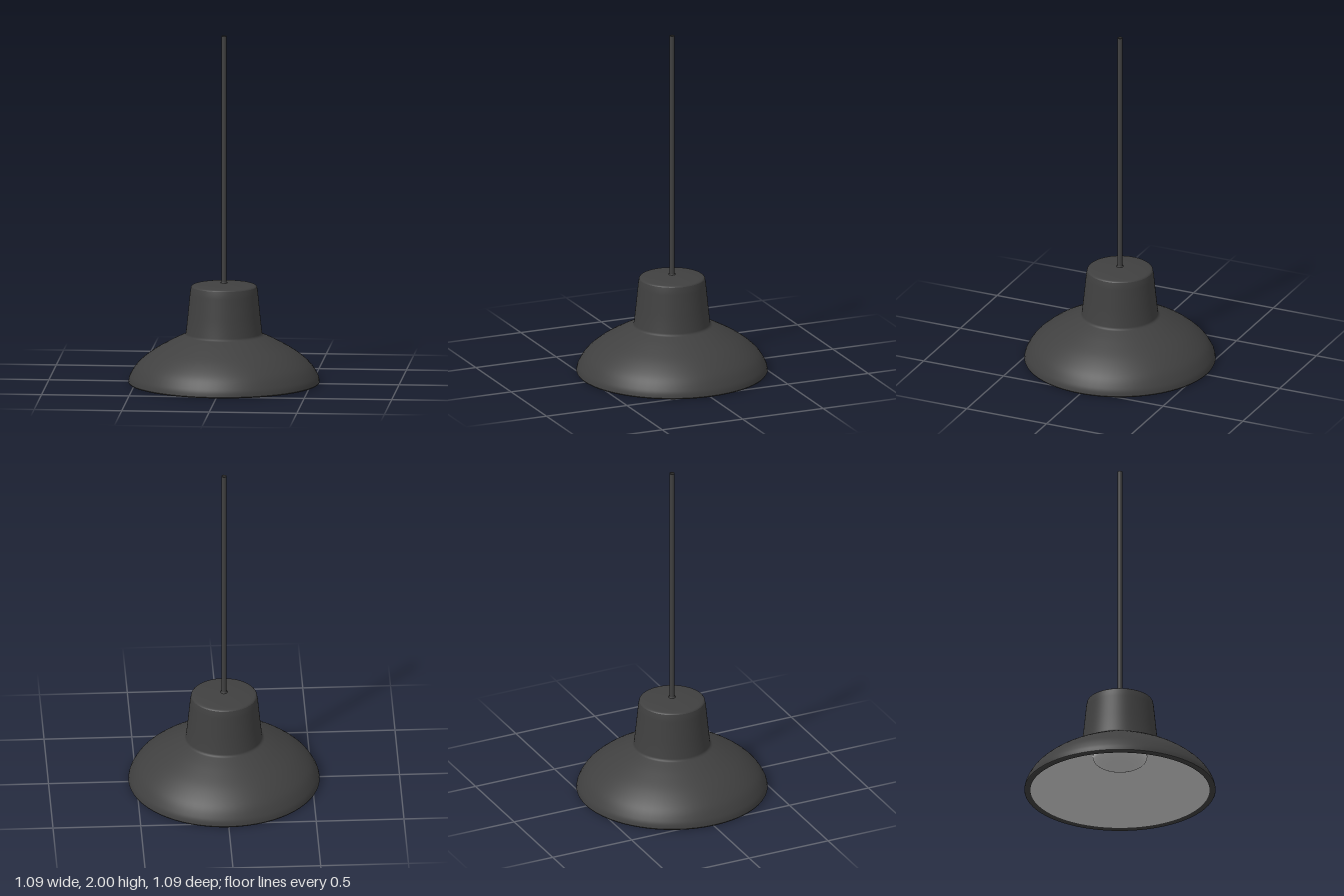
import * as THREE from 'three';

const dark = new THREE.MeshStandardMaterial({ color: 0x404040 });
const pale = new THREE.MeshStandardMaterial({ color: 0xcccccc });
const SIDES = 64;

// Smooth curve through [radius, height] points.
function curve(points, steps) {
  return new THREE.SplineCurve(points.map(p => new THREE.Vector2(...p))).getPoints(steps);
}

// Revolved surface; profiles run upward on the outside and downward on the inside.
function revolve(name, profile, material, sides = SIDES) {
  const points = profile.map(p => (p.isVector2 ? p : new THREE.Vector2(...p)));
  const mesh = new THREE.Mesh(new THREE.LatheGeometry(points, sides), material);
  mesh.name = name;
  return mesh;
}

export function createModel() {
  const lamp = new THREE.Group();
  lamp.name = 'pendantLamp';

  // Outer shell: rim, flared shade blending into the tapering neck, shallow domed top
  const shell = new THREE.Group();
  shell.name = 'outerShell';
  const flare = curve([[0.545, 0.006], [0.534, 0.045], [0.492, 0.108], [0.412, 0.175],
    [0.309, 0.235], [0.223, 0.277]], 30);
  shell.add(
    revolve('rim', [[0.51, 0.004], [0.513, 0], [0.542, 0], [0.545, 0.006]], dark),
    revolve('shadeAndNeck', [...flare, [0.217, 0.287], [0.206, 0.39], [0.194, 0.51],
      [0.192, 0.53], [0.187, 0.553]], dark),
    revolve('neckTop', curve([[0.187, 0.553], [0.172, 0.562], [0.1, 0.57], [0.012, 0.575]], 12), dark)
  );
  lamp.add(shell);

  // Pale inside: straight cone up to the socket, with the bulb hanging in it
  const inside = new THREE.Group();
  inside.name = 'reflector';
  inside.add(
    revolve('reflectorCone', [[0.1, 0.291], [0.51, 0.004]], pale),
    revolve('bulb', curve([[0, 0.148], [0.08, 0.156], [0.135, 0.178], [0.155, 0.208],
      [0.148, 0.248], [0.125, 0.293], [0.1, 0.343], [0, 0.36]], 32), pale)
  );
  lamp.add(inside);

  // Hollow cord with a slight collar at its foot, open down to the bulb
  lamp.add(
    revolve('cordCollar', [[0.02, 0.565], [0.02, 0.576], [0.015, 0.579]], dark, 24),
    revolve('cord', [[0.015, 0.57], [0.015, 2]], dark, 24),
    revolve('cordEnd', [[0.015, 2], [0.012, 2]], dark, 24),
    revolve('cordBore', [[0.012, 2], [0.012, 0.57]], dark, 24)
  );
  return lamp;
}
